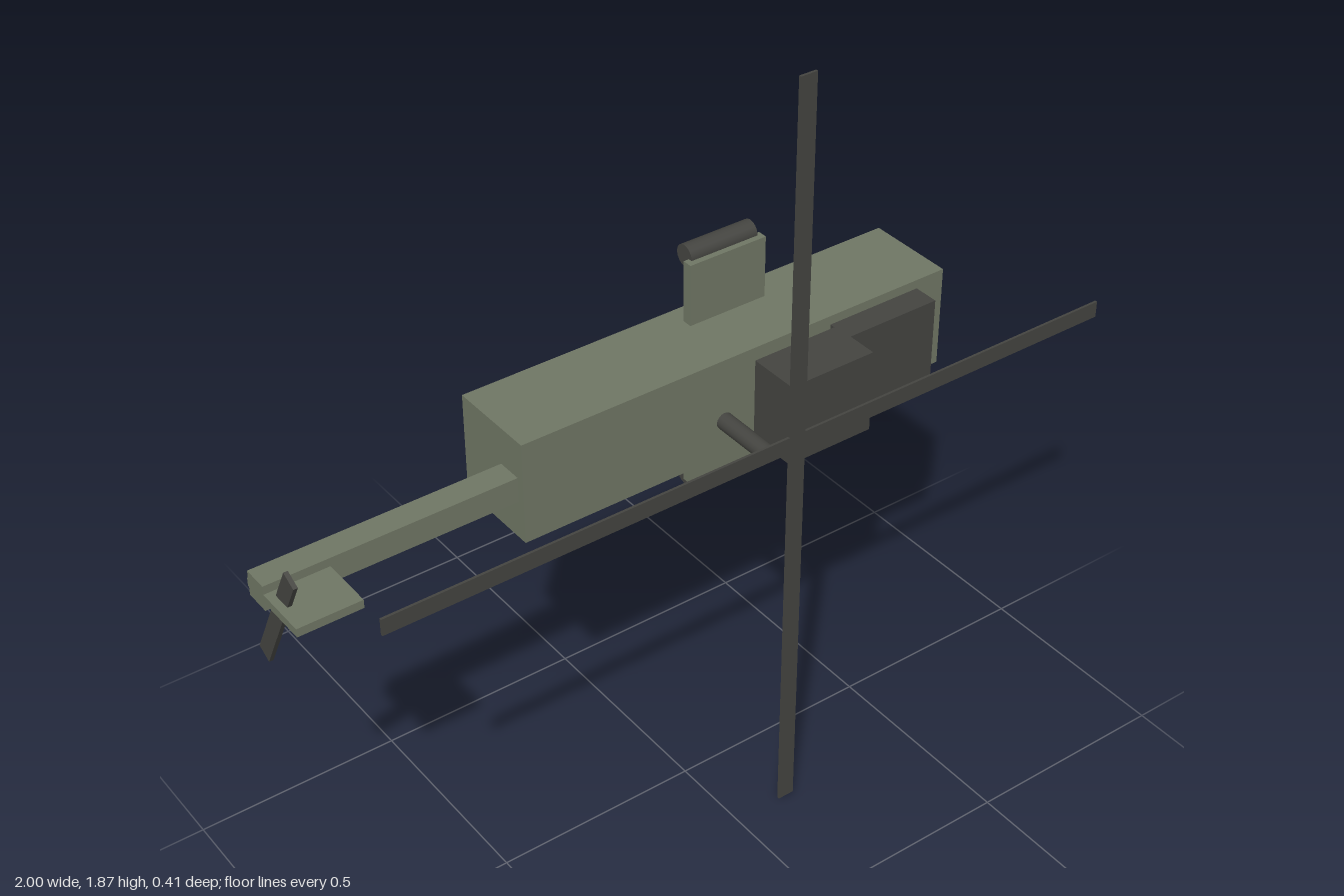
import * as THREE from 'three';

export function createModel() {
  const root = new THREE.Group();
  const green = new THREE.MeshStandardMaterial({ color: 0x6f7664 });
  green.name = 'olive green';
  const dark = new THREE.MeshStandardMaterial({ color: 0x444440 });
  dark.name = 'dark grey';

  const add = (name, geometry, material, x, y, z) => {
    const mesh = new THREE.Mesh(geometry, material);
    mesh.name = name;
    mesh.position.set(x, y, z);
    root.add(mesh);
    return mesh;
  };
  // Box given by its limits on each axis
  const box = (name, material, [x0, x1], [y0, y1], [z0, z1]) =>
    add(name, new THREE.BoxGeometry(x1 - x0, y1 - y0, z1 - z0), material,
      (x0 + x1) / 2, (y0 + y1) / 2, (z0 + z1) / 2);

  // Fuselage, tail boom and fin (the aircraft lies on its side, rotor towards +z)
  box('fuselage', green, [-0.417, 0.7], [0.885, 1.132], [-0.207, 0.013]);
  box('tailBoom', green, [-1, -0.417], [0.98, 1.04], [-0.067, -0.006]);
  box('tailFin', green, [-1, -0.853], [1.0, 1.02], [-0.071, 0.121]);

  // Engine housing in two steps
  box('engineRear', dark, [0.165, 0.385], [0.91, 1.11], [0.026, 0.15]);
  box('engineFront', dark, [0.38, 0.625], [0.91, 1.11], [0.005, 0.075]);

  // Main rotor
  const mast = add('rotorMast', new THREE.CylinderGeometry(0.02, 0.02, 0.15, 16), dark, 0.066, 1.01, 0.125);
  mast.rotation.x = Math.PI / 2;
  box('rotorBladeLong', dark, [-0.863, 1], [0.99, 1.03], [0.197, 0.203]);
  box('rotorBladeCross', dark, [0.12, 0.161], [0, 1.866], [0.1972, 0.2032]);

  // Tail rotor blade, tilted about x
  const tail = add('tailRotorBlade', new THREE.BoxGeometry(0.01, 0.32, 0.04), dark, -0.977, 0.955, -0.002);
  tail.rotation.x = THREE.MathUtils.degToRad(28);

  // Stub wings with pods at their tips
  for (const side of [1, -1]) {
    add('stubWing', new THREE.BoxGeometry(0.2, 0.15, 0.024), green, 0.202, 1.01 + side * 0.21, -0.131);
    const pod = add('wingPod', new THREE.CylinderGeometry(0.026, 0.026, 0.175, 16), dark,
      0.203, 1.01 + side * 0.286, -0.159);
    pod.rotation.z = Math.PI / 2;
  }
  return root;
}
